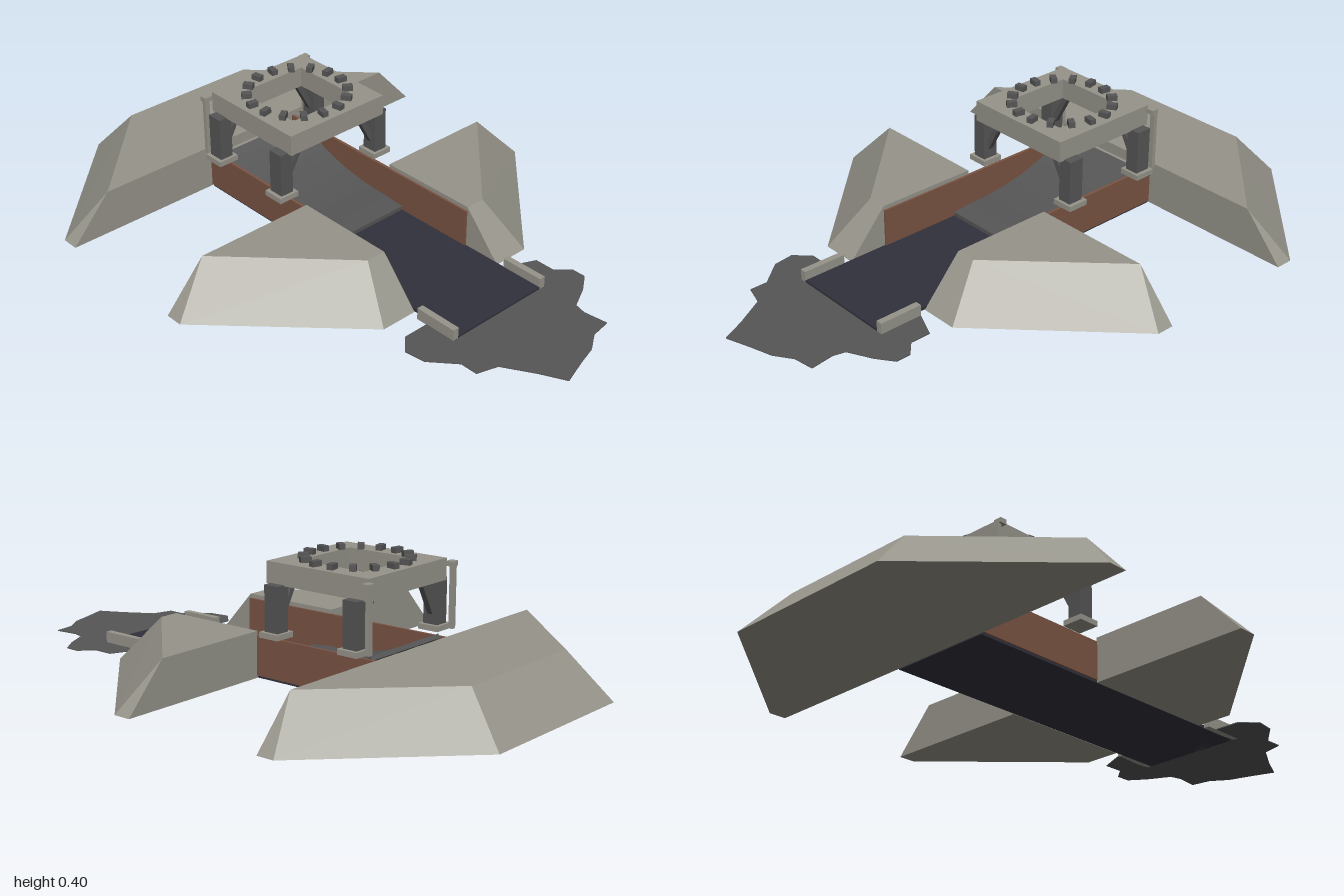
import * as THREE from 'three';
import { ConvexGeometry } from 'three/addons/geometries/ConvexGeometry.js';

const mat = (name, color, side = THREE.FrontSide) => {
  const m = new THREE.MeshStandardMaterial({ color, side });
  m.name = name;
  return m;
};

export function createModel() {
  const concrete = mat('concrete', 0x96948a);
  const steel = mat('dark steel', 0x555555);
  const brick = mat('brown brick', 0x7a5443);
  const floorMat = mat('dark floor', 0x31313c);
  const scorch = mat('scorched ground', 0x565656);

  const model = new THREE.Group();
  model.name = 'launchPad';

  const add = (name, geo, material) => {
    const mesh = new THREE.Mesh(geo, material);
    mesh.name = name;
    model.add(mesh);
    return mesh;
  };
  // Box given by its min and max corners
  const box = (name, material, x0, x1, y0, y1, z0, z1) => {
    const mesh = add(name, new THREE.BoxGeometry(x1 - x0, y1 - y0, z1 - z0), material);
    mesh.position.set((x0 + x1) / 2, (y0 + y1) / 2, (z0 + z1) / 2);
    return mesh;
  };
  const berm = (name, pts) =>
    add(name, new ConvexGeometry(pts.map(p => new THREE.Vector3(...p))), concrete);
  // Extrude a (z, y) profile across x, centred on cx
  const acrossX = (shape, width, cx = 0) => {
    const g = new THREE.ExtrudeGeometry(shape, { depth: width, bevelEnabled: false });
    return g.rotateY(-Math.PI / 2).translate(cx + width / 2, 0, 0);
  };
  const H = 0.152;

  // Earth berms
  berm('backBerm', [-1, 1].flatMap(s => [
    [s * 0.74, 0, -0.51], [s * 0.74, 0, -0.57], [s * 0.31, 0, -1],
    [s * 0.6, H, -0.51], [s * 0.25, H, -0.865],
  ]));
  for (const s of [-1, 1]) {
    berm('frontBerm', [
      [s * 0.74, 0, -0.02], [s * 0.74, 0, 0.04], [s * 0.31, 0, 0.47], [s * 0.182, 0, 0.47], [s * 0.182, 0, -0.02],
      [s * 0.6, H, -0.02], [s * 0.25, H, 0.335], [s * 0.182, H, 0.335], [s * 0.182, H, -0.02],
    ]);
  }

  // Trench
  box('trenchFloor', floorMat, -0.18, 0.18, 0, 0.01, -0.505, 0.65);
  for (const s of [-1, 1]) {
    const x = s * 0.18;
    box('trenchWall', brick, x - 0.005, x + 0.005, 0.008, 0.138, -0.505, 0.335);
    box('trenchCurb', concrete, s * 0.19 - 0.011, s * 0.19 + 0.011, 0, 0.04, 0.5, 0.65);
  }

  // Curved flame deflector
  const profile = new THREE.Shape();
  profile.moveTo(0.05, 0.008);
  profile.lineTo(0.05, 0.024);
  profile.lineTo(-0.02, 0.03);
  profile.quadraticCurveTo(-0.28, 0.03, -0.455, 0.146);
  profile.lineTo(-0.465, 0.134);
  profile.quadraticCurveTo(-0.28, 0.012, -0.02, 0.008);
  add('flameDeflector', acrossX(profile, 0.348), steel);

  // Ribs and rail behind the deflector
  const rib = new THREE.Shape();
  rib.moveTo(-0.5, 0.01);
  rib.lineTo(-0.3, 0.01);
  rib.lineTo(-0.3, 0.05);
  rib.lineTo(-0.46, 0.135);
  rib.lineTo(-0.5, 0.02);
  for (const x of [-0.165, -0.055, 0.055, 0.165]) add('deflectorRib', acrossX(rib, 0.012, x), steel);
  box('deflectorRail', concrete, -0.17, 0.17, 0.115, 0.13, -0.488, -0.474);

  // Launch platform with square opening
  const plate = new THREE.Shape();
  const r = 0.197, h = 0.128;
  [[-r, -r], [r, -r], [r, r], [-r, r]].forEach(([x, y], i) => i ? plate.lineTo(x, y) : plate.moveTo(x, y));
  const hole = new THREE.Path();
  [[-h, -h], [-h, h], [h, h], [h, -h]].forEach(([x, y], i) => i ? hole.lineTo(x, y) : hole.moveTo(x, y));
  plate.holes.push(hole);
  const plateGeo = new THREE.ExtrudeGeometry(plate, { depth: 0.07, bevelEnabled: false });
  add('platform', plateGeo.rotateX(-Math.PI / 2).translate(0, 0.315, -0.268), concrete);

  // Ring of hold-down clamps
  for (let i = 0; i < 16; i++) {
    const a = (i + 0.5) * Math.PI / 8;
    const clamp = add('clamp', new THREE.BoxGeometry(0.034, 0.018, 0.021), steel);
    clamp.position.set(Math.cos(a) * 0.165, 0.394, -0.268 + Math.sin(a) * 0.165);
    clamp.rotation.y = -a;
  }

  // Legs, footings, braces and rear masts
  for (const s of [-1, 1]) {
    for (const z of [-0.42, -0.115]) {
      const x = s * 0.203;
      box('leg', steel, x - 0.024, x + 0.024, 0.165, 0.318, z - 0.027, z + 0.027);
      box('footing', concrete, x - 0.037, x + 0.037, 0.152, 0.17, z - 0.037, z + 0.037);
      const brace = add('brace', new THREE.BoxGeometry(0.018, 0.125, 0.02), steel);
      brace.position.set(s * 0.155, 0.262, z);
      brace.rotation.z = s * 0.5;
    }
    const x = s * 0.212;
    box('mast', concrete, x - 0.009, x + 0.009, 0.16, 0.372, -0.486, -0.472);
    box('mastArm', concrete, x - 0.018, x + 0.012, 0.358, 0.374, -0.484, -0.46);
  }

  // Scorched ground patch
  const outline = [
    [-0.34, 0.59], [-0.29, 0.54], [-0.2, 0.54], [0.2, 0.5], [0.29, 0.54], [0.29, 0.61], [0.335, 0.65], [0.335, 0.7],
    [0.28, 0.74], [0.2, 0.78], [0.19, 0.82], [0.2, 0.9], [0.13, 0.91], [0.07, 0.95], [0, 0.97], [-0.09, 1],
    [-0.13, 0.92], [-0.19, 0.82], [-0.26, 0.8], [-0.26, 0.74], [-0.33, 0.66],
  ];
  const patch = new THREE.Shape(outline.map(([x, z]) => new THREE.Vector2(x, -z)));
  const patchGeo = new THREE.ExtrudeGeometry(patch, { depth: 0.003, bevelEnabled: false });
  add('scorchPatch', patchGeo.rotateX(-Math.PI / 2), scorch);

  return model;
}
